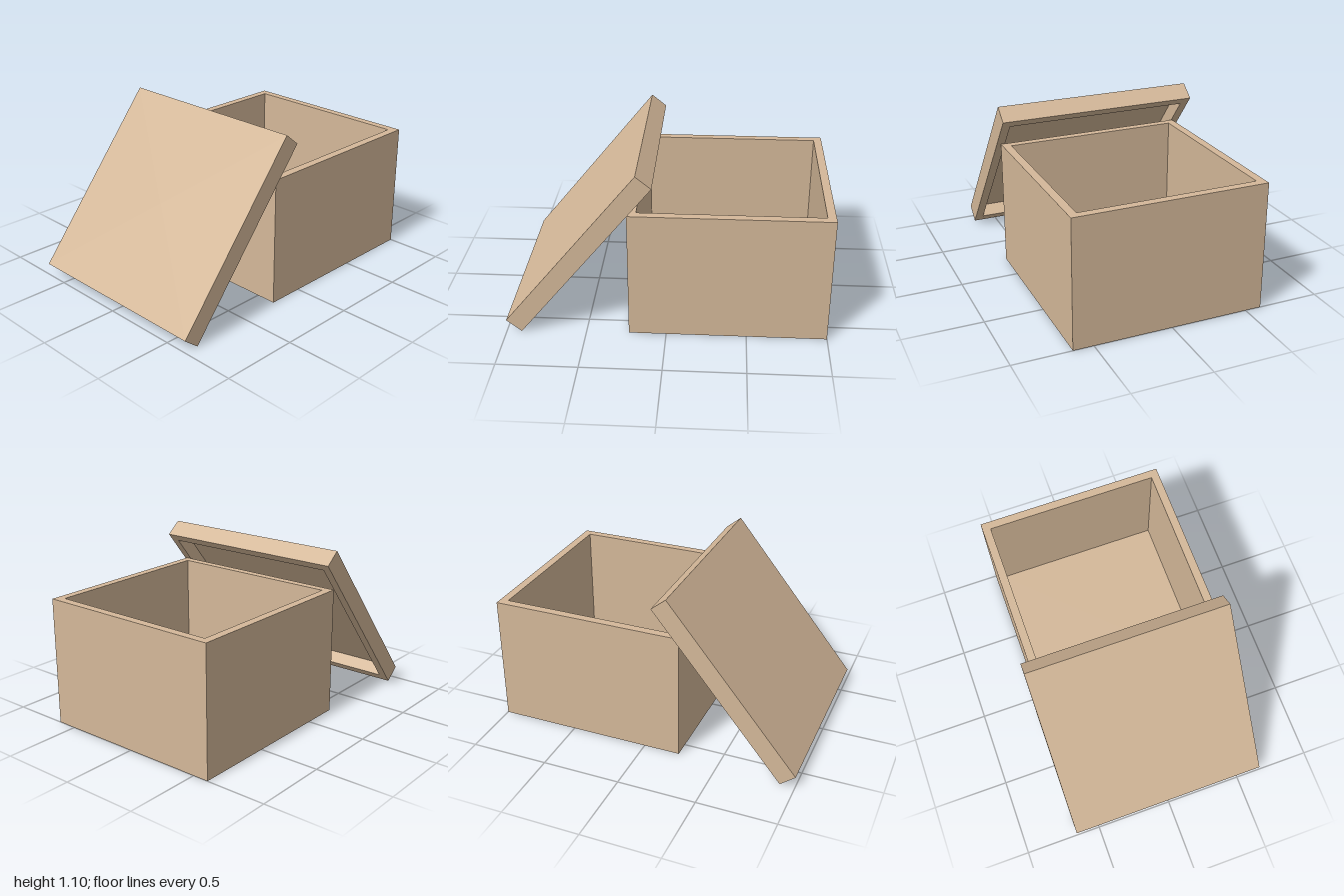
import * as THREE from 'three';

const material = new THREE.MeshStandardMaterial({ color: 0xd4b899, flatShading: true });

// Square open tray standing on y = 0: a closed wall profile turned in four steps
function openTray(name, side, height, wall, floor) {
  const outer = side / Math.SQRT2;
  const inner = (side - 2 * wall) / Math.SQRT2;
  const profile = [
    [0, 0], [outer, 0], [outer, height], [inner, height], [inner, floor], [0, floor],
  ].map(([r, y]) => new THREE.Vector2(r, y));
  const geometry = new THREE.LatheGeometry(profile, 4, Math.PI / 4).toNonIndexed();
  geometry.computeVertexNormals();
  const mesh = new THREE.Mesh(geometry, material);
  mesh.name = name;
  return mesh;
}

export function createModel() {
  const model = new THREE.Group();
  model.name = 'openBox';

  // Box body, open at the top
  const body = openTray('boxBody', 1.233, 0.825, 0.053, 0.053);
  body.position.set(0.383, 0, 0.013);
  model.add(body);

  // Lid: a shallow tray leaning on the box edge, hollow side facing the box
  const lid = openTray('lid', 1.311, 0.122, 0.055, 0.032);
  lid.position.set(-0.588, 0.588, 0);
  lid.rotation.z = -2.252;
  model.add(lid);

  return model;
}
